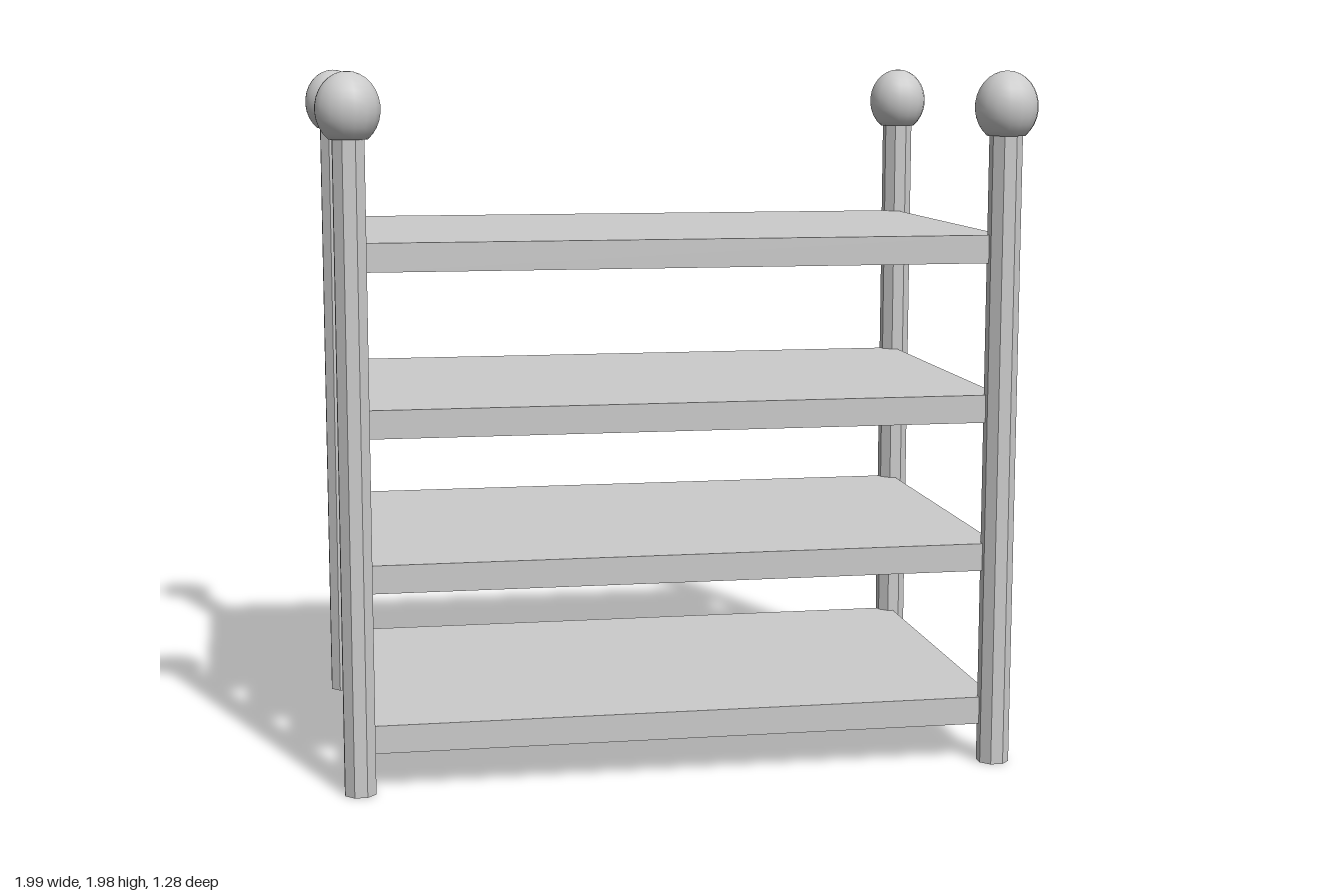
import * as THREE from 'three';

const HALF_X = 0.91, HALF_Z = 0.553;
const SIDES = 8, POST_TOP = 1.81, POST_RADIUS = 0.0463;

export function createModel() {
  const group = new THREE.Group();
  group.name = 'shelfRack';
  const smooth = new THREE.MeshStandardMaterial({ color: 0xcccccc, side: THREE.DoubleSide });
  const flat = new THREE.MeshStandardMaterial({ color: 0xcccccc, side: THREE.DoubleSide, flatShading: true });

  const add = (name, geometry, material, x, y, z) => {
    const mesh = new THREE.Mesh(geometry, material);
    mesh.name = name;
    mesh.position.set(x, y, z);
    group.add(mesh);
  };

  // Four shelves whose corners sit on the post axes
  const shelf = new THREE.BoxGeometry(HALF_X * 2, 0.079, HALF_Z * 2);
  [0.15, 0.602, 1.031, 1.484].forEach((y, i) => add(`shelf${i + 1}`, shelf, flat, 0, y, 0));

  // Open octagonal tube with flats facing the axes
  const post = new THREE.CylinderGeometry(POST_RADIUS, POST_RADIUS, POST_TOP, SIDES, 1, true);
  post.rotateY(Math.PI / SIDES);

  // Slightly tall ball, cut flat where it meets the post
  const profile = [new THREE.Vector2(0, -0.08)];
  const start = Math.asin(-0.8), steps = 12;
  for (let i = 0; i <= steps; i++) {
    const a = start + (Math.PI / 2 - start) * (i / steps);
    profile.push(new THREE.Vector2(i === steps ? 0 : 0.0885 * Math.cos(a), 0.1 * Math.sin(a)));
  }
  const finial = new THREE.LatheGeometry(profile, 16, Math.PI / 16);

  // A post and finial at each corner
  for (const [sx, side] of [[1, 'Left'], [-1, 'Right']]) {
    for (const [sz, end] of [[1, 'front'], [-1, 'back']]) {
      add(`${end}${side}Post`, post, flat, sx * HALF_X, POST_TOP / 2, sz * HALF_Z);
      add(`${end}${side}Finial`, finial, smooth, sx * HALF_X, 1.88, sz * HALF_Z);
    }
  }
  return group;
}
